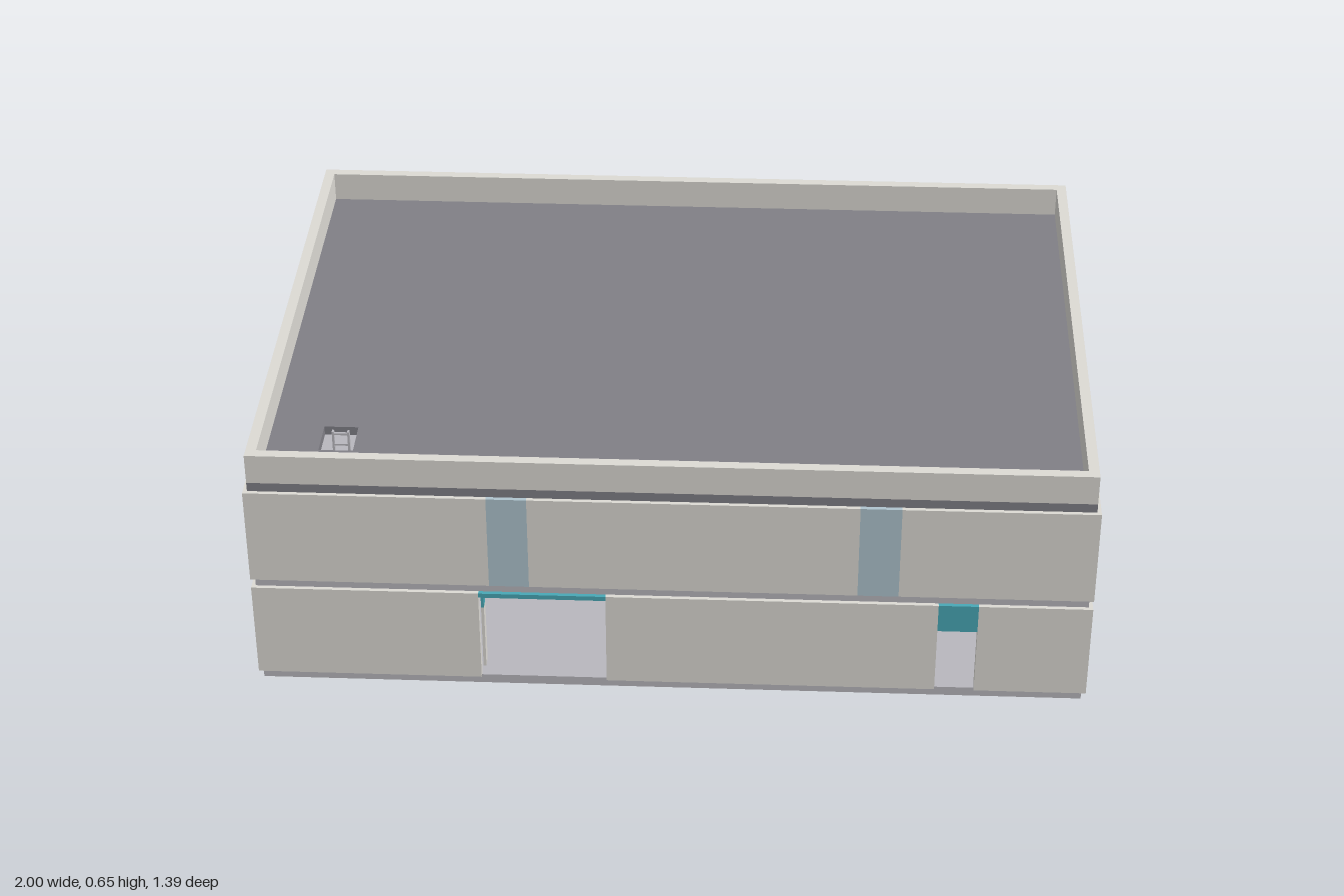
import * as THREE from 'three';

const mat = (color) => new THREE.MeshStandardMaterial({ color });
const W = 1, D = 0.695, T = 0.022;          // outer half sizes and wall thickness
const SW = 0.99, SD = 0.685;                // half sizes of slabs and parapet

export function createModel() {
  const model = new THREE.Group();
  const wall = mat(0xdcdad4), slab = mat(0xb8b7bd), roof = mat(0x807f86);
  const glass = mat(0xafc4ce), teal = mat(0x48a8b6), red = mat(0xd0766a), dark = mat(0x92948b);

  // Box given by its limits on each axis
  const box = (name, material, x0, x1, y0, y1, z0, z1, parent = model) => {
    const mesh = new THREE.Mesh(new THREE.BoxGeometry(x1 - x0, y1 - y0, z1 - z0), material);
    mesh.position.set((x0 + x1) / 2, (y0 + y1) / 2, (z0 + z1) / 2);
    mesh.name = name;
    parent.add(mesh);
  };

  // Wall run along x or z, with solid pieces between the listed bays
  const wallRun = (name, axis, side, [y0, y1], bays) => {
    const g = new THREE.Group();
    g.name = name;
    const end = axis === 'x' ? W : D - T;
    const face = axis === 'x' ? D : W;
    const n = side > 0 ? [face - T, face] : [-face, -face + T];
    const piece = (label, m, a, b, lo) => {
      if (axis === 'x') box(label, m, a, b, lo, y1, ...n, g);
      else box(label, m, ...n, lo, y1, a, b, g);
    };
    let from = -end;
    for (const [a, b, kind, lintel] of bays) {
      piece('wallPanel', wall, from, a, y0);
      if (kind === 'window') piece('window', glass, a, b, y0);
      if (kind === 'redDoor') piece('redDoor', red, a, b, y0 + 0.012);   // gap below
      if (kind === 'doorway') piece('lintelGlass', teal, a, b, lintel);
      from = b;
    }
    piece('wallPanel', wall, from, end, y0);
    model.add(g);
  };

  // Floors
  box('groundSlab', slab, -SW, SW, 0, 0.024, -SD, SD);
  box('upperFloorSlab', slab, -SW, SW, 0.275, 0.299, -SD, SD);

  // Lower storey
  const L = [0.024, 0.275], U = [0.299, 0.549];
  wallRun('lowerFrontWall', 'x', 1, L, [[-0.457, -0.154, 'doorway', 0.263], [0.636, 0.731, 'doorway', 0.2]]);
  wallRun('lowerBackWall', 'x', -1, L, [[-0.66, -0.56, 'redDoor']]);
  wallRun('lowerLeftWall', 'z', 1, L, [[0.372, 0.469, 'doorway', 0.2]]);
  wallRun('lowerRightWall', 'z', -1, L, [[-0.385, -0.285, 'window']]);

  // Upper storey
  wallRun('upperFrontWall', 'x', 1, U, [[-0.43, -0.335, 'window'], [0.443, 0.54, 'window']]);
  wallRun('upperBackWall', 'x', -1, U, [[-0.66, -0.56, 'window'], [0.562, 0.655, 'redDoor']]);
  wallRun('upperLeftWall', 'z', 1, U, [[-0.05, 0.052, 'window']]);
  wallRun('upperRightWall', 'z', -1, U, [[-0.05, 0.052, 'window']]);

  // Flat slab with a rectangular opening, outline run counter-clockwise
  const rect = (p, x0, x1, z0, z1) =>
    p.moveTo(x0, -z1).lineTo(x1, -z1).lineTo(x1, -z0).lineTo(x0, -z0).closePath();
  const outline = (name, material, outer, inner, y, h) => {
    const shape = rect(new THREE.Shape(), ...outer);
    shape.holes.push(rect(new THREE.Path(), ...inner));
    const geo = new THREE.ExtrudeGeometry(shape, { depth: h, bevelEnabled: false });
    const mesh = new THREE.Mesh(geo.rotateX(-Math.PI / 2), material);
    mesh.position.y = y;
    mesh.name = name;
    model.add(mesh);
  };

  // Roof slab with hatch, and parapet ring
  const P = 0.025;
  outline('roofSlab', roof, [-SW, SW, -SD, SD], [-0.841, -0.759, 0.441, 0.541], 0.549, 0.023);
  outline('parapet', wall, [-SW, SW, -SD, SD], [-SW + P, SW - P, -SD + P, SD - P], 0.572, 0.076);

  // Ladder below the hatch
  const ladder = new THREE.Group();
  ladder.name = 'ladder';
  for (const x of [-0.821, -0.784]) box('ladderRail', slab, x, x + 0.005, 0.299, 0.57, 0.451, 0.461, ladder);
  for (let i = 0; i < 9; i++) {
    const y = 0.32 + i * 0.03;
    box('ladderRung', slab, -0.816, -0.784, y, y + 0.005, 0.453, 0.459, ladder);
  }
  model.add(ladder);

  // Inner frame at the edge of the wide opening
  box('innerPost', wall, -0.457, -0.45, 0.024, 0.2, 0.62, 0.65);
  box('innerPostGlass', teal, -0.457, -0.45, 0.2, 0.275, 0.62, 0.65);

  // Low units and post inside, behind the front openings
  box('lowUnit', dark, -0.452, -0.367, 0.024, 0.13, -0.2, -0.1);
  box('lowUnitStep', dark, -0.452, -0.362, 0.024, 0.038, -0.1, -0.06);
  box('darkPost', dark, 0.63, 0.655, 0.024, 0.2, 0, 0.02);
  box('lowUnit', dark, 0.655, 0.76, 0.024, 0.13, 0, 0.1);
  box('lowUnitStep', dark, 0.655, 0.76, 0.024, 0.08, 0.1, 0.14);

  return model;
}
